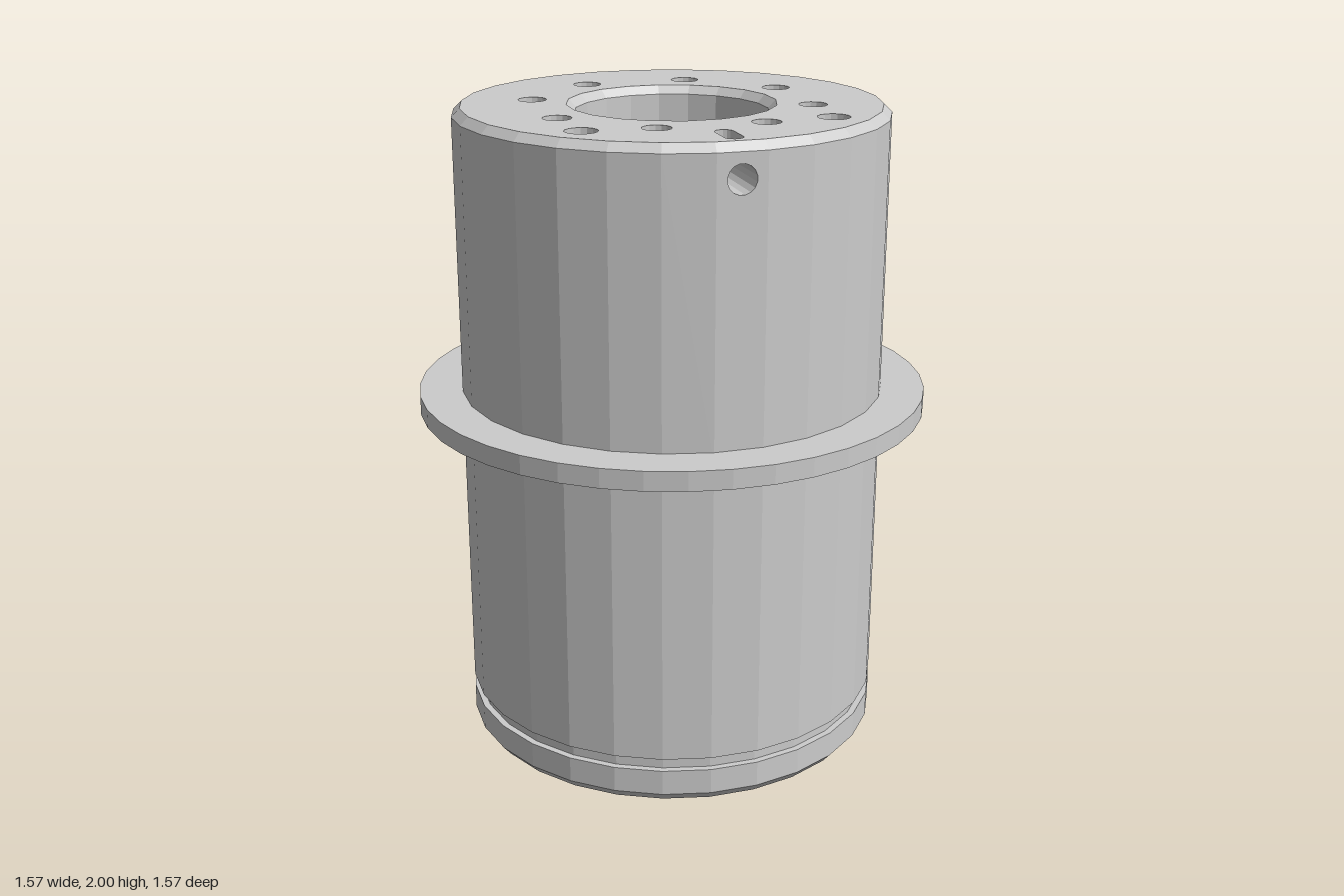
import * as THREE from 'three';

const material = new THREE.MeshStandardMaterial({ color: 0xcccccc, flatShading: true });
const BODY_R = 0.655, BORE_R = 0.292, FACE_R = 0.63, RIM_R = 0.315;
const BODY_N = 28, BORE_N = 20, HOLE_N = 16;
const PORT_R = 0.043, PORT_Y = 1.9;

function add(parent, name, geometry) {
  const mesh = new THREE.Mesh(geometry, material);
  mesh.name = name;
  parent.add(mesh);
  return mesh;
}

// Lathe with one flat facing +z; open leaves that front facet out
function turned(points, n, open = false) {
  const step = (Math.PI * 2) / n;
  const profile = points.map(([r, y]) => new THREE.Vector2(r, y));
  return new THREE.LatheGeometry(profile, open ? n - 1 : n, step / 2, open ? Math.PI * 2 - step : Math.PI * 2);
}

// Polygon matching a lathe's corners, optionally stretched into a slot
function ring(r, n, cx = 0, cy = 0, stretch = 0) {
  return Array.from({ length: n }, (_, i) => {
    const a = ((i + 0.5) * Math.PI * 2) / n;
    const y = r * Math.cos(a);
    return new THREE.Vector2(cx + r * Math.sin(a), cy + y + Math.sign(y) * stretch);
  });
}

// Flat facet of a cylinder with the round port cut through it
function portPanel(r, n, y0, y1) {
  const w = r * Math.sin(Math.PI / n);
  const shape = new THREE.Shape([[-w, y0], [w, y0], [w, y1], [-w, y1]].map(p => new THREE.Vector2(...p)));
  shape.holes.push(new THREE.Path(ring(PORT_R, HOLE_N, 0, PORT_Y)));
  return new THREE.ShapeGeometry(shape);
}

// End face with its blind holes and slot, facing up at y = 0
function endFace() {
  const group = new THREE.Group();
  const face = new THREE.Shape(ring(FACE_R, BODY_N));
  face.holes.push(new THREE.Path(ring(RIM_R, BORE_N)));

  function recess(name, x, z, r, depth, tip, stretch = 0) {
    face.holes.push(new THREE.Path(ring(r, HOLE_N, x, -z, stretch)));
    const geometry = turned([[r, 0], [r, -depth], [0, -depth - tip]], HOLE_N);
    const pos = geometry.attributes.position;
    for (let i = 0; i < pos.count; i++) {
      const pz = pos.getZ(i);
      if (Math.abs(pz) > 1e-4) pos.setZ(i, pz + Math.sign(pz) * stretch);
    }
    add(group, name, geometry).position.set(x, 0, z);
  }

  // Eight drilled holes with conical bottoms
  for (let i = 0; i < 8; i++) {
    const a = ((i + 0.5) * Math.PI) / 4;
    recess('boltHole', 0.42 * Math.sin(a), 0.42 * Math.cos(a), 0.043, 0.12, 0.025);
  }
  // Two flat-bottomed dowel holes and the radial slot
  for (const side of [-1, 1]) recess('dowelHole', side * 0.37, 0.37, 0.048, 0.1, 0);
  recess('slot', 0, 0.533, 0.028, 0.05, 0, 0.04);

  add(group, 'endPlate', new THREE.ShapeGeometry(face).rotateX(-Math.PI / 2));
  return group;
}

export function createModel() {
  const model = new THREE.Group();

  // Outer wall with bottom chamfer and groove
  add(model, 'lowerBody', turned([
    [FACE_R, 0], [BODY_R, 0.03], [BODY_R, 0.11], [0.635, 0.11],
    [0.635, 0.15], [BODY_R, 0.15], [BODY_R, 1.1],
  ], BODY_N));
  add(model, 'upperBody', turned([[BODY_R, 1.1], [BODY_R, 1.975]], BODY_N, true));
  add(model, 'topChamfer', turned([[BODY_R, 1.975], [FACE_R, 2]], BODY_N));

  // Collar around the middle
  add(model, 'flange', turned([[0.6, 1.07], [0.787, 1.07], [0.787, 1.13], [0.6, 1.13]], 40));

  // Central bore with chamfered rims
  add(model, 'bore', turned([[BORE_R, 1.975], [BORE_R, 0.025]], BORE_N, true));
  add(model, 'topBoreChamfer', turned([[RIM_R, 2], [BORE_R, 1.975]], BORE_N));
  add(model, 'bottomBoreChamfer', turned([[BORE_R, 0.025], [RIM_R, 0]], BORE_N));

  // Round port from the front through to the bore
  const outerZ = BODY_R * Math.cos(Math.PI / BODY_N);
  const innerZ = BORE_R * Math.cos(Math.PI / BORE_N);
  add(model, 'outerPortPanel', portPanel(BODY_R, BODY_N, 1.1, 1.975)).position.z = outerZ;
  const innerPanel = add(model, 'borePortPanel', portPanel(BORE_R, BORE_N, 0.025, 1.975));
  innerPanel.rotation.y = Math.PI;
  innerPanel.position.z = innerZ;
  const port = add(model, 'port', turned([[PORT_R, 0], [PORT_R, innerZ - outerZ]], HOLE_N));
  port.rotation.x = Math.PI / 2;
  port.position.set(0, PORT_Y, outerZ);

  // Matching end faces
  const top = endFace();
  top.name = 'topFace';
  top.position.y = 2;
  const bottom = endFace();
  bottom.name = 'bottomFace';
  bottom.rotation.z = Math.PI;
  model.add(top, bottom);

  return model;
}
